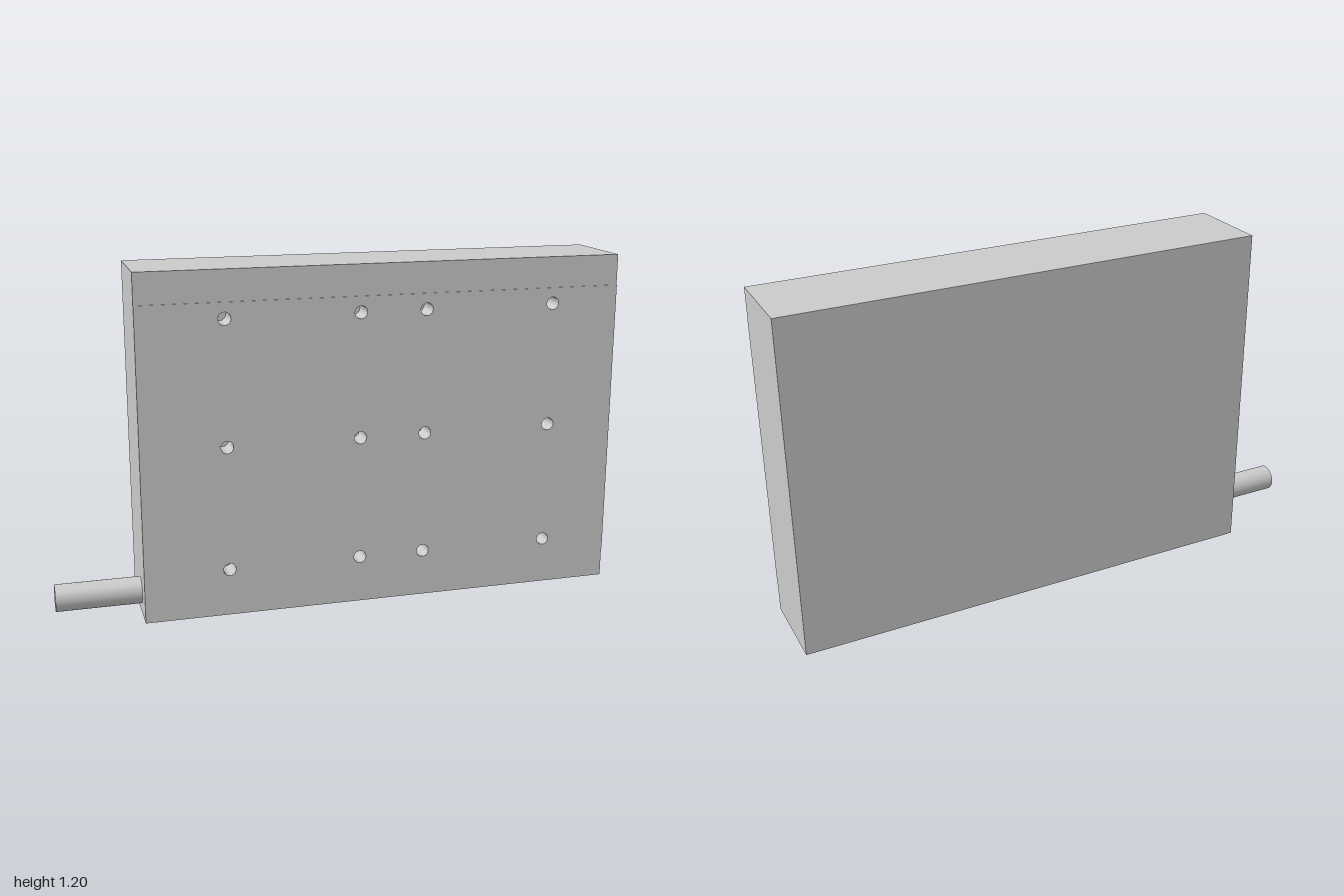
import * as THREE from 'three';
import { toCreasedNormals } from 'three/addons/utils/BufferGeometryUtils.js';

const LEFT = 1, RIGHT = -0.706, HEIGHT = 1.204;
const BACK = -0.152, HOLE_FLOOR = 0.06, FRONT = 0.149, PANEL = 0.152;
const HOLE_RADIUS = 0.022;
const HOLE_X = [-0.411, 0.056, 0.29, 0.756];
const HOLE_Y = [0.167, 0.604, 1.041];

export function createModel() {
  const model = new THREE.Group();
  const material = new THREE.MeshStandardMaterial({ color: 0xcccccc });

  const add = (name, geometry) => {
    const mesh = new THREE.Mesh(geometry, material);
    mesh.name = name;
    model.add(mesh);
    return mesh;
  };

  // Full-width plate between two heights and two depths, optionally drilled
  const plate = (y0, y1, z0, z1, drilled) => {
    const shape = new THREE.Shape([
      new THREE.Vector2(RIGHT, y0), new THREE.Vector2(LEFT, y0),
      new THREE.Vector2(LEFT, y1), new THREE.Vector2(RIGHT, y1),
    ]);
    if (drilled) {
      for (const x of HOLE_X) for (const y of HOLE_Y) {
        shape.holes.push(new THREE.Path().absarc(x, y, HOLE_RADIUS, 0, Math.PI * 2, true));
      }
    }
    const geometry = new THREE.ExtrudeGeometry(shape, {
      depth: z1 - z0, bevelEnabled: false, curveSegments: 24,
    });
    geometry.translate(0, 0, z0);
    return toCreasedNormals(geometry, 0.6);
  };

  // Solid rear block closes the blind holes of the drilled front block
  add('rearBlock', plate(0, HEIGHT, BACK, HOLE_FLOOR, false));
  add('frontBlock', plate(0, HEIGHT, HOLE_FLOOR, FRONT, true));

  // Slightly raised mounting face, short of the top and bottom edges
  add('mountingFace', plate(0.108, 1.096, FRONT, PANEL, true));

  // Side spigot near the bottom
  const length = RIGHT + 1;
  const spigot = add('sideSpigot', new THREE.CylinderGeometry(0.047, 0.047, length, 48));
  spigot.rotation.z = Math.PI / 2;
  spigot.position.set(-1 + length / 2, 0.081, 0.038);

  return model;
}
